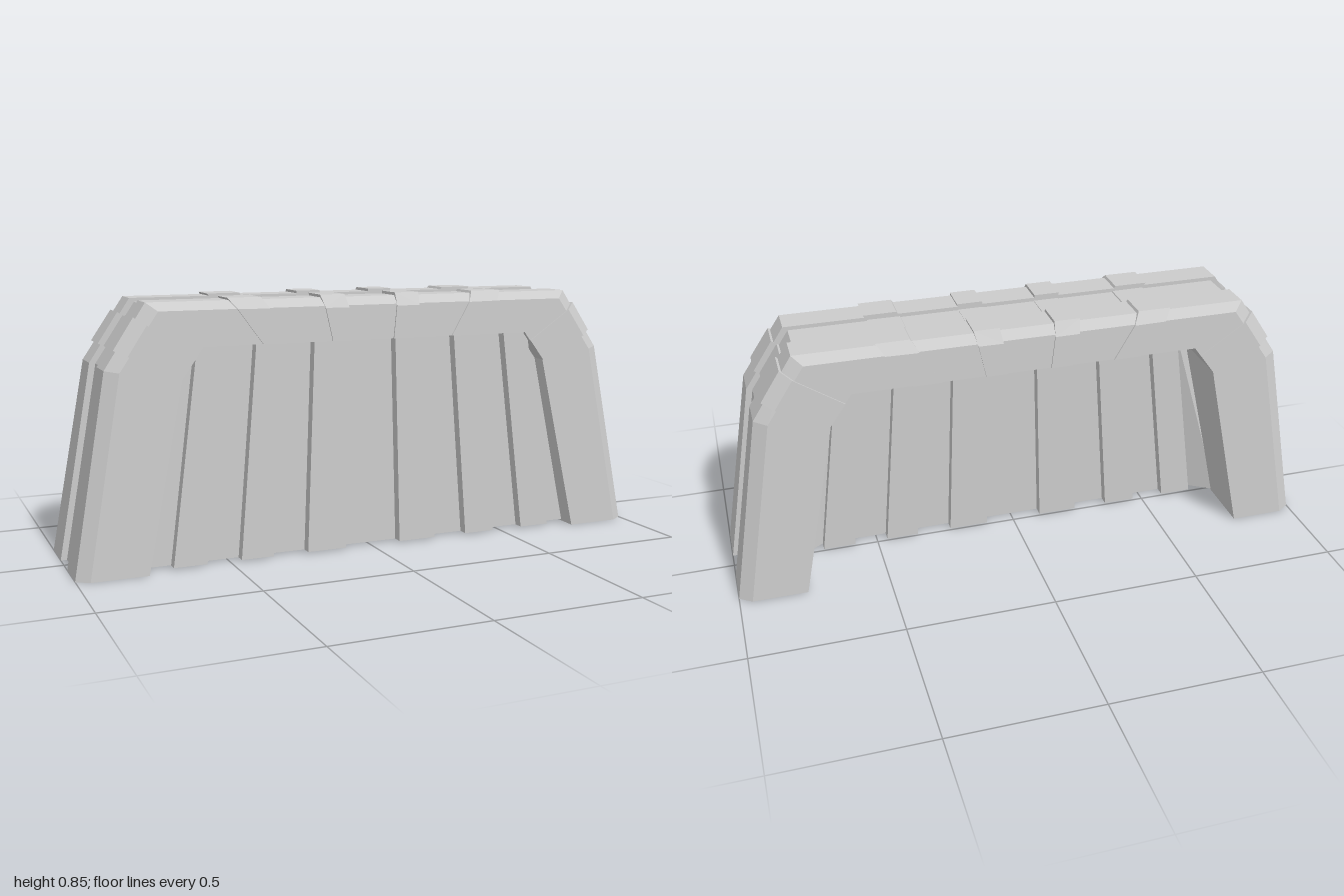
import * as THREE from 'three';

const material = new THREE.MeshStandardMaterial({ color: 0xcccccc, flatShading: true });

// Closed solid through matching cross-sections; contour is their shared 2D outline
function loft(name, sections, contour) {
  const ccw = !THREE.ShapeUtils.isClockWise(contour);
  const outline = ccw ? contour : [...contour].reverse();
  const rings = ccw ? sections : sections.map(r => [...r].reverse());
  const n = outline.length, last = rings.length - 1, tris = [];
  for (let s = 0; s < last; s++) {
    for (let i = 0; i < n; i++) {
      const k = (i + 1) % n;
      const [a, b, c, d] = [rings[s][i], rings[s][k], rings[s + 1][k], rings[s + 1][i]];
      tris.push([a, b, c], [a, c, d]);
    }
  }
  for (const [a, b, c] of THREE.ShapeUtils.triangulateShape(outline, [])) {
    tris.push([rings[last][a], rings[last][b], rings[last][c]]);
    tris.push([rings[0][c], rings[0][b], rings[0][a]]);
  }
  // turn the faces outward whichever way the sections run
  const cross = new THREE.Vector3();
  const volume = tris.reduce((v, [a, b, c]) => v + a.dot(cross.crossVectors(b, c)), 0);
  const points = tris.flatMap(t => (volume < 0 ? [t[0], t[2], t[1]] : t));
  const geometry = new THREE.BufferGeometry().setFromPoints(points);
  geometry.computeVertexNormals();
  const mesh = new THREE.Mesh(geometry, material);
  mesh.name = name;
  return mesh;
}

// Frame section between an outer and an inner point, chamfered, with a central groove;
// halfDepth gives half its z size at a height, grow raises it into a band
function frameSection([ox, oy], [ix, iy], grow = 0) {
  const width = Math.hypot(ox - ix, oy - iy);
  const dx = (ix - ox) / width, dy = (iy - oy) / width;
  const halfDepth = y => 0.22 - 0.044 * y + 0.5 * grow;
  const half = [
    [width, 0], [0.042 - grow, 0], [-grow, 0.028],
  ].map(([d, inset]) => [d, halfDepth(oy + dy * d) - inset]);
  half.push([-grow, 0.058], [0.02 - grow, 0.058]);
  return [...half, ...half.map(([d, z]) => [d, -z]).reverse()]
    .map(([d, z]) => new THREE.Vector3(ox + dx * d, oy + dy * d, z));
}

const mix = (a, b, t) => a.map((v, i) => v + (b[i] - v) * t);
const flip = ([x, y]) => [-x, y];

export function createModel() {
  const model = new THREE.Group();
  model.name = 'archedWall';

  // Frame: two legs, sloped corners and a top beam
  const foot = [[1, 0], [0.775, 0]];
  const knee = [[0.885, 0.64], [0.65, 0.605]];
  const crown = [[0.75, 0.843], [0.578, 0.703]];
  const right = [foot, knee, crown];
  const left = [...right].reverse().map(s => s.map(flip));
  const footSection = frameSection(...foot);
  const frameContour = footSection.map(p => new THREE.Vector2(p.x, p.z));
  model.add(loft('frame', [...right, ...left].map(([o, i]) => frameSection(o, i)), frameContour));

  const addBand = (name, a, b) =>
    model.add(loft(name, [a, b].map(([o, i]) => frameSection(o, i, 0.009)), frameContour));

  for (const side of [1, -1]) {
    const s = ([x, y]) => [side * x, y];

    // Raised bands around the sloped corners
    const at = (tOuter, tInner) =>
      [s(mix(knee[0], crown[0], tOuter)), s(mix(knee[1], crown[1], tInner))];
    addBand('cornerBand', at(0.28, 0), at(0.76, 0.7));

    // Raised leaning bands across the beam: top start, top end, bottom start, bottom end
    for (const [t0, t1, b0, b1] of [[0.09, 0.175, 0.073, 0.145], [0.375, 0.485, 0.29, 0.383]]) {
      addBand('beamBand', [s([t0, 0.843]), s([b0, 0.703])], [s([t1, 0.843]), s([b1, 0.703])]);
    }
  }

  // Ribbed wall set toward the front, its ribs standing out on both faces;
  // splay draws the rear corners back against the feet of the legs
  const ribs = [[0.1, 0.235], [0.355, 0.465], [0.58, 0.69]];
  const steps = [];
  for (const [a, b] of ribs) steps.push([a, 0], [a, 1], [b, 1], [b, 0]);
  steps.push([0.785, 0]);
  const run = [...steps.map(([x, r]) => [-x, r]).reverse(), ...steps];
  const wallOutline = (scale, front, back, splay) => [
    ...run.map(([x, r]) => [x * scale, front + 0.035 * r]),
    ...[...run].reverse().map(([x, r], i) => {
      const corner = i === 0 || i === run.length - 1;
      return [x * scale, back - 0.035 * r - (corner ? splay : 0)];
    }),
  ];
  const wallSection = (y, ...args) =>
    wallOutline(...args).map(([x, z]) => new THREE.Vector3(x, y, z));
  model.add(loft(
    'ribbedWall',
    [wallSection(0.006, 1, 0.155, 0.035, 0.06), wallSection(0.72, 0.86, 0.14, 0.05, 0)],
    wallOutline(1, 0.155, 0.035, 0.06).map(p => new THREE.Vector2(...p)),
  ));

  return model;
}
